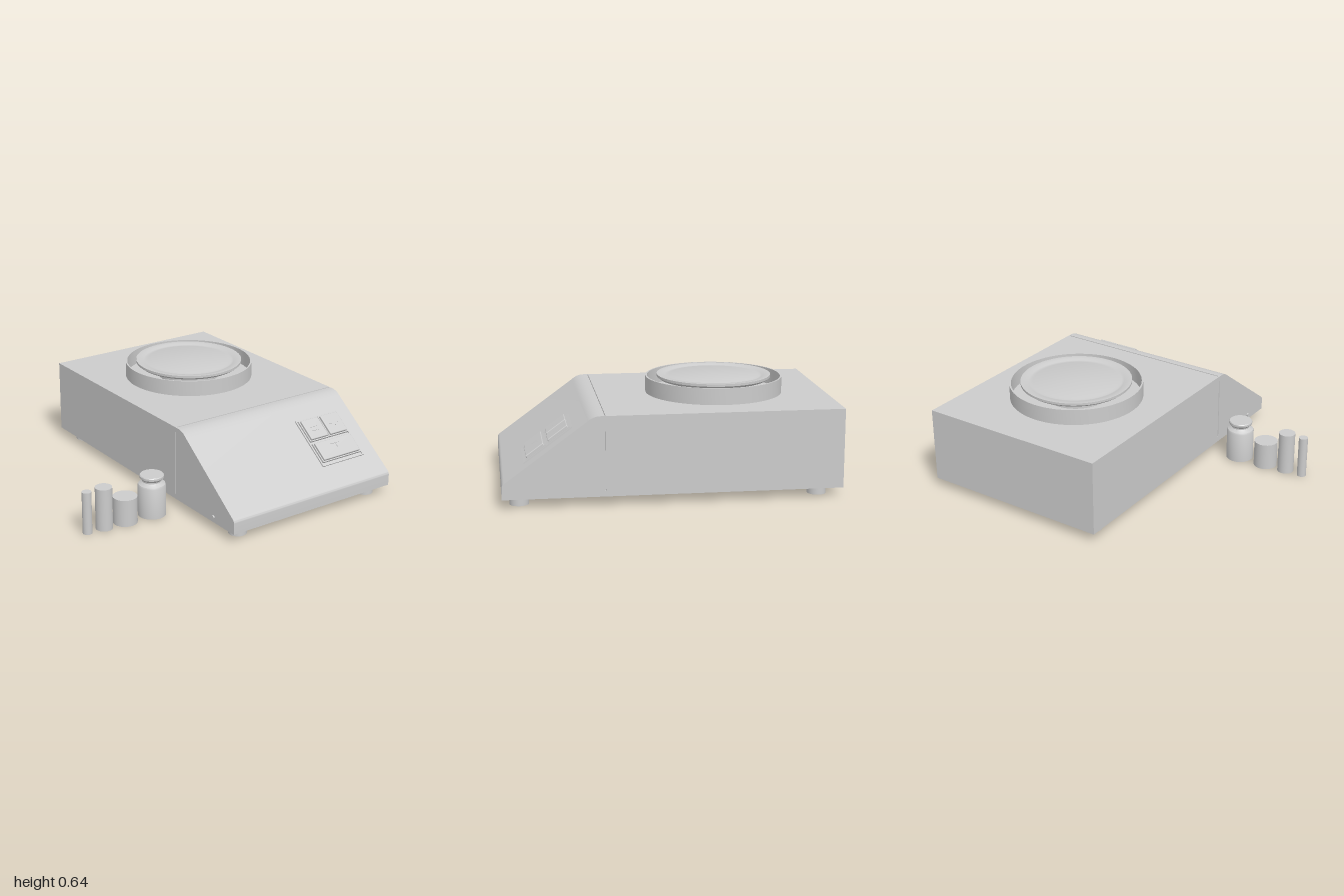
import * as THREE from 'three';
import { RoundedBoxGeometry } from 'three/addons/geometries/RoundedBoxGeometry.js';
import { toCreasedNormals } from 'three/addons/utils/BufferGeometryUtils.js';

const CX = 0.33;          // centre line of the balance
const PAN_Z = -0.325;     // centre of the weighing pan
const mat = new THREE.MeshStandardMaterial({ color: 0xcccccc, side: THREE.DoubleSide });

function add(parent, name, geometry, x = 0, y = 0, z = 0) {
  const mesh = new THREE.Mesh(geometry, mat);
  mesh.name = name;
  mesh.position.set(x, y, z);
  parent.add(mesh);
  return mesh;
}

// Extrudes a side outline, drawn with shape x = -z, across the given width
function sideExtrude(shape, width) {
  const g = new THREE.ExtrudeGeometry(shape, { depth: width, bevelEnabled: false, curveSegments: 8 });
  g.translate(0, 0, -width / 2);
  g.rotateY(Math.PI / 2);
  return toCreasedNormals(g, 0.5);
}

function lathe(points, segments = 64) {
  const g = new THREE.LatheGeometry(points.map(([r, y]) => new THREE.Vector2(r, y)), segments);
  return toCreasedNormals(g, 0.6);
}

function housing(group) {
  // Sloping front section with a rounded shoulder
  const front = new THREE.Shape();
  front.moveTo(-1, 0.055);
  front.lineTo(-0.41, 0.055);
  front.lineTo(-0.41, 0.53);
  front.lineTo(-0.43, 0.53);
  front.quadraticCurveTo(-0.475, 0.53, -0.51, 0.498);
  front.lineTo(-0.985, 0.151);
  front.quadraticCurveTo(-1, 0.14, -1, 0.125);
  front.closePath();
  add(group, 'frontHousing', sideExtrude(front, 1.22), CX);

  // Rear section and the recessed core seen in the seam
  add(group, 'rearHousing', new THREE.BoxGeometry(1.22, 0.475, 1.402), CX, 0.2925, -0.299);
  add(group, 'seamCore', new THREE.BoxGeometry(1.2, 0.46, 0.04), CX, 0.2905, 0.406);
  for (const x of [-0.275, 0.935]) {
    add(group, 'seamEnd', new THREE.BoxGeometry(0.01, 0.035, 0.02), x, 0.0725, 0.406);
    add(group, 'seamEnd', new THREE.BoxGeometry(0.01, 0.03, 0.02), x, 0.515, 0.406);
  }

  // Small adjuster on the side
  const knob = new THREE.CylinderGeometry(0.012, 0.012, 0.02, 16).rotateZ(Math.PI / 2);
  add(group, 'sideAdjuster', knob, -0.28, 0.09, 0.8);

  for (const x of [-0.175, 0.83])
    for (const z of [0.898, -0.865])
      add(group, 'foot', new THREE.CylinderGeometry(0.056, 0.056, 0.06, 32), x, 0.03, z);
}

function pan(group) {
  // Draught ring
  add(group, 'draughtRing', lathe([
    [0.41, 0.53], [0.42, 0.53], [0.42, 0.63], [0.41, 0.63], [0.41, 0.53],
  ], 96), CX, 0, PAN_Z);
  // Pan with a shallow annular groove, and its support
  add(group, 'weighingPan', lathe([
    [0, 0.61], [0.33, 0.61], [0.35, 0.625], [0.35, 0.64], [0.315, 0.64],
    [0.3, 0.632], [0.285, 0.63], [0.27, 0.635], [0, 0.635],
  ], 96), CX, 0, PAN_Z);
  add(group, 'panSupport', new THREE.CylinderGeometry(0.2, 0.2, 0.09, 48), CX, 0.57, PAN_Z);
}

function keypad(group) {
  const pad = new THREE.Group();
  pad.name = 'keypad';
  pad.position.set(0.672, 0.341, 0.725);
  pad.rotation.x = Math.atan2(0.347, 0.475);
  group.add(pad);

  // Thin border around the keys
  const w = 0.168, h = 0.175, t = 0.01;
  const border = new THREE.Shape([[-w, -h], [w, -h], [w, h], [-w, h]].map(p => new THREE.Vector2(...p)));
  border.holes.push(new THREE.Path([[-w + t, -h + t], [-w + t, h - t], [w - t, h - t], [w - t, -h + t]]
    .map(p => new THREE.Vector2(...p))));
  const g = new THREE.ExtrudeGeometry(border, { depth: 0.012, bevelEnabled: false });
  add(pad, 'keypadBorder', g.rotateX(-Math.PI / 2), 0, -0.004, 0);

  // Keys: x, z, width, length, each on a slightly wider plinth
  const keys = [[-0.078, -0.085, 0.145, 0.15], [0.078, -0.085, 0.145, 0.15], [0, 0.08, 0.3, 0.135]];
  for (const [x, z, kw, kl] of keys) {
    add(pad, 'keyBase', new THREE.BoxGeometry(kw + 0.006, 0.014, kl + 0.006), x, 0.006, z);
    add(pad, 'key', new RoundedBoxGeometry(kw - 0.008, 0.03, kl - 0.008, 2, 0.005), x, 0.013, z);
  }

  // Raised bar marks on the keys: x, z, width, length
  const marks = [
    [-0.078, -0.097, 0.06, 0.005], [-0.078, -0.07, 0.05, 0.005],
    [0.05, -0.085, 0.025, 0.005], [0.105, -0.085, 0.025, 0.005], [0.078, -0.068, 0.02, 0.005],
    [0, 0.05, 0.07, 0.005], [0, 0.07, 0.005, 0.035],
  ];
  for (const [x, z, mw, ml] of marks)
    add(pad, 'keyMark', new THREE.BoxGeometry(mw, 0.004, ml), x, 0.0285, z);
}

function weights(group) {
  // Plain cylinders: x, radius, height
  for (const [x, r, h] of [[-0.912, 0.029, 0.27], [-0.795, 0.052, 0.27], [-0.646, 0.075, 0.172]])
    add(group, 'cylinderWeight', new THREE.CylinderGeometry(r, r, h, 40), x, h / 2, 0.4);

  // Knobbed weight
  add(group, 'knobbedWeight', lathe([
    [0, 0], [0.087, 0], [0.087, 0.195], [0.082, 0.206], [0.066, 0.215], [0.058, 0.222],
    [0.058, 0.23], [0.066, 0.237], [0.075, 0.247], [0.075, 0.26], [0.071, 0.265], [0, 0.265],
  ], 48), -0.453, 0, 0.4);
}

export function createModel() {
  const group = new THREE.Group();
  group.name = 'laboratoryBalance';
  for (const [name, build] of Object.entries({ housing, panAssembly: pan, controls: keypad, weightSet: weights })) {
    const part = new THREE.Group();
    part.name = name;
    build(part);
    group.add(part);
  }
  return group;
}
